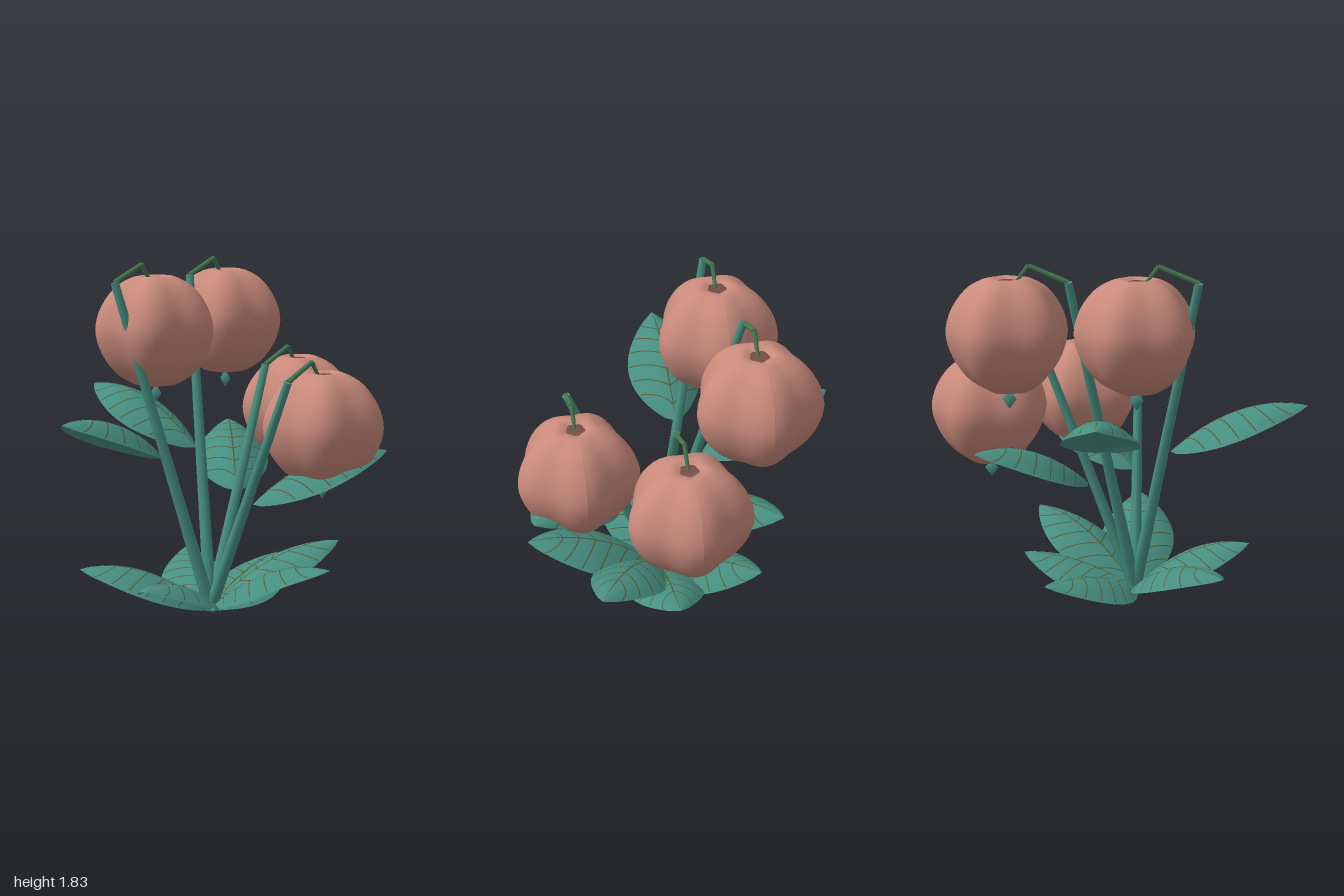
import * as THREE from 'three';
import { mergeGeometries } from 'three/addons/utils/BufferGeometryUtils.js';

const mat = (name, color) => {
  const m = new THREE.MeshStandardMaterial({ color, side: THREE.DoubleSide });
  m.name = name;
  return m;
};
const V = (x, y, z) => new THREE.Vector3(x, y, z);
const BASE = V(-0.1, 0.01, 0.07);

function addMesh(parent, name, geometry, material) {
  const mesh = new THREE.Mesh(geometry, material);
  mesh.name = name;
  parent.add(mesh);
  return mesh;
}

// Tapered rod between two points
function rod(a, b, r0, r1, sides = 8) {
  const d = b.clone().sub(a);
  const g = new THREE.CylinderGeometry(r1, r0, d.length(), sides);
  g.applyQuaternion(new THREE.Quaternion().setFromUnitVectors(V(0, 1, 0), d.normalize()));
  const c = a.clone().add(b).multiplyScalar(0.5);
  return g.translate(c.x, c.y, c.z);
}

// Grid surface from a function f(s, t), both 0..1
function sheet(f, ns, nt) {
  const pos = [], idx = [];
  for (let i = 0; i <= ns; i++) {
    for (let j = 0; j <= nt; j++) pos.push(...f(i / ns, j / nt).toArray());
  }
  for (let i = 0; i < ns; i++) {
    for (let j = 0; j < nt; j++) {
      const a = i * (nt + 1) + j, b = a + nt + 1;
      idx.push(a, a + 1, b, b, a + 1, b + 1);
    }
  }
  const g = new THREE.BufferGeometry();
  g.setAttribute('position', new THREE.Float32BufferAttribute(pos, 3));
  g.setIndex(idx);
  g.computeVertexNormals();
  return g;
}

// Arched leaf from base to tip; arch sets how early it rises, droop lowers the edges
function makeLeaf(name, base, tip, arch, droop, halfWidth, mats) {
  const group = new THREE.Group();
  group.name = name;
  const d = tip.clone().sub(base);
  const side = V(d.z, 0, -d.x).normalize();
  const point = (u, v, lift = 0) => {
    const k = Math.pow(Math.max(0, Math.sin(Math.PI * Math.pow(u, 0.95))), 0.8);
    const p = base.clone().addScaledVector(side, v * k * halfWidth);
    p.x += d.x * u;
    p.z += d.z * u;
    p.y += d.y * (arch * u + (1 - arch) * u * u) - droop * k * v * v + lift;
    return p;
  };
  addMesh(group, 'leafBlade', sheet((s, t) => point(s, t * 2 - 1), 20, 12), mats.leaf);

  // Midrib and slanted side veins lying on the blade
  const veins = [sheet((s, t) => point(0.04 + 0.93 * s, (t - 0.5) * 0.045, 0.004), 20, 1)];
  for (let i = 0; i < 6; i++) {
    for (const sgn of [-1, 1]) {
      veins.push(sheet((s, t) => {
        const u = 0.1 + i * 0.125 + 0.17 * Math.pow(s, 1.2) + (t - 0.5) * 0.009;
        return point(u, sgn * s * 0.96, 0.004);
      }, 8, 1));
    }
  }
  addMesh(group, 'leafVeins', mergeGeometries(veins), mats.vein);
  return group;
}

// Five-lobed hollow bloom, open at top and bottom
function bloomGeometry() {
  const profile = new THREE.SplineCurve([
    [0.046, -0.272], [0.08, -0.285], [0.125, -0.27], [0.195, -0.22], [0.256, -0.135],
    [0.291, -0.035], [0.291, 0.05], [0.257, 0.145], [0.195, 0.228], [0.125, 0.273],
    [0.08, 0.284], [0.046, 0.272],
  ].map(([r, y]) => new THREE.Vector2(r, y)));
  const g = new THREE.LatheGeometry(profile.getPoints(32), 60, Math.PI / 2);
  const p = g.attributes.position;
  for (let i = 0; i < p.count; i++) {
    const k = 1.005 + 0.07 * Math.cos(5 * Math.atan2(p.getZ(i), p.getX(i)));
    p.setX(i, p.getX(i) * k);
    p.setZ(i, p.getZ(i) * k);
  }
  g.computeVertexNormals();
  return g;
}

export function createModel() {
  const root = new THREE.Group();
  root.name = 'floweringPlant';
  const mats = {
    leaf: mat('leafGreen', 0x478f80),
    hook: mat('stalkGreen', 0x457a52),
    vein: mat('veinOlive', 0x565a33),
    bloom: mat('bloomPink', 0xc98a7b),
  };
  const bloom = bloomGeometry();
  const drop = new THREE.SphereGeometry(1, 4, 2).scale(0.037, 0.05, 0.037);

  // Stalks: stem top, and the tip of the leaf growing from the stem
  const stalks = [
    { top: V(-0.45, 1.735, -0.265), leafTip: V(-1.0, 1.1, -0.1) },
    { top: V(0.19, 1.735, -0.315), leafTip: V(-0.02, 1.12, -0.84) },
    { top: V(0.375, 1.26, 0.06), leafTip: V(0.66, 0.87, -0.43) },
    { top: V(-0.06, 1.26, 0.535), leafTip: V(0.46, 0.87, 0.79) },
  ];
  for (const { top, leafTip } of stalks) {
    const stalk = new THREE.Group();
    stalk.name = 'stalk';
    root.add(stalk);
    addMesh(stalk, 'stem', rod(BASE, top, 0.034, 0.021), mats.leaf);

    // Bent hook carrying the bloom
    const bend = top.clone().add(V(0.2, 0.08, 0));
    const end = top.clone().add(V(0.27, -0.015, 0));
    addMesh(stalk, 'hook', mergeGeometries([
      rod(top, bend, 0.014, 0.012, 6), rod(bend, end, 0.012, 0.009, 6),
    ]), mats.hook);

    const c = top.clone().add(V(0.305, -0.268, 0));
    addMesh(stalk, 'bloom', bloom, mats.bloom).position.copy(c);
    addMesh(stalk, 'pistil', drop, mats.leaf).position.copy(c).add(V(0, -0.33, 0));

    // Stem leaf starts just outside the stem
    const leafBase = BASE.clone().lerp(top, 0.475);
    const out = leafTip.clone().sub(leafBase).setY(0).setLength(0.035);
    stalk.add(makeLeaf('stemLeaf', leafBase.add(out), leafTip, 2.4, 0.115, 0.2, mats));
  }

  // Rosette of leaves at the foot: tip, arch
  const rosette = [
    [V(0.51, 0.19, 0.06), 2.0],
    [V(0.5, 0.33, 0.47), 2.1],
    [V(-0.04, 0.335, 0.79), 2.1],
    [V(-0.71, 0.26, 0.16), 2.3],
    [V(-0.6, 0.25, -0.4), 2.5],
    [V(0.3, 0.18, -0.44), 2.2],
  ];
  for (const [tip, arch] of rosette) {
    root.add(makeLeaf('baseLeaf', BASE, tip, arch, 0.09, 0.205, mats));
  }
  return root;
}
